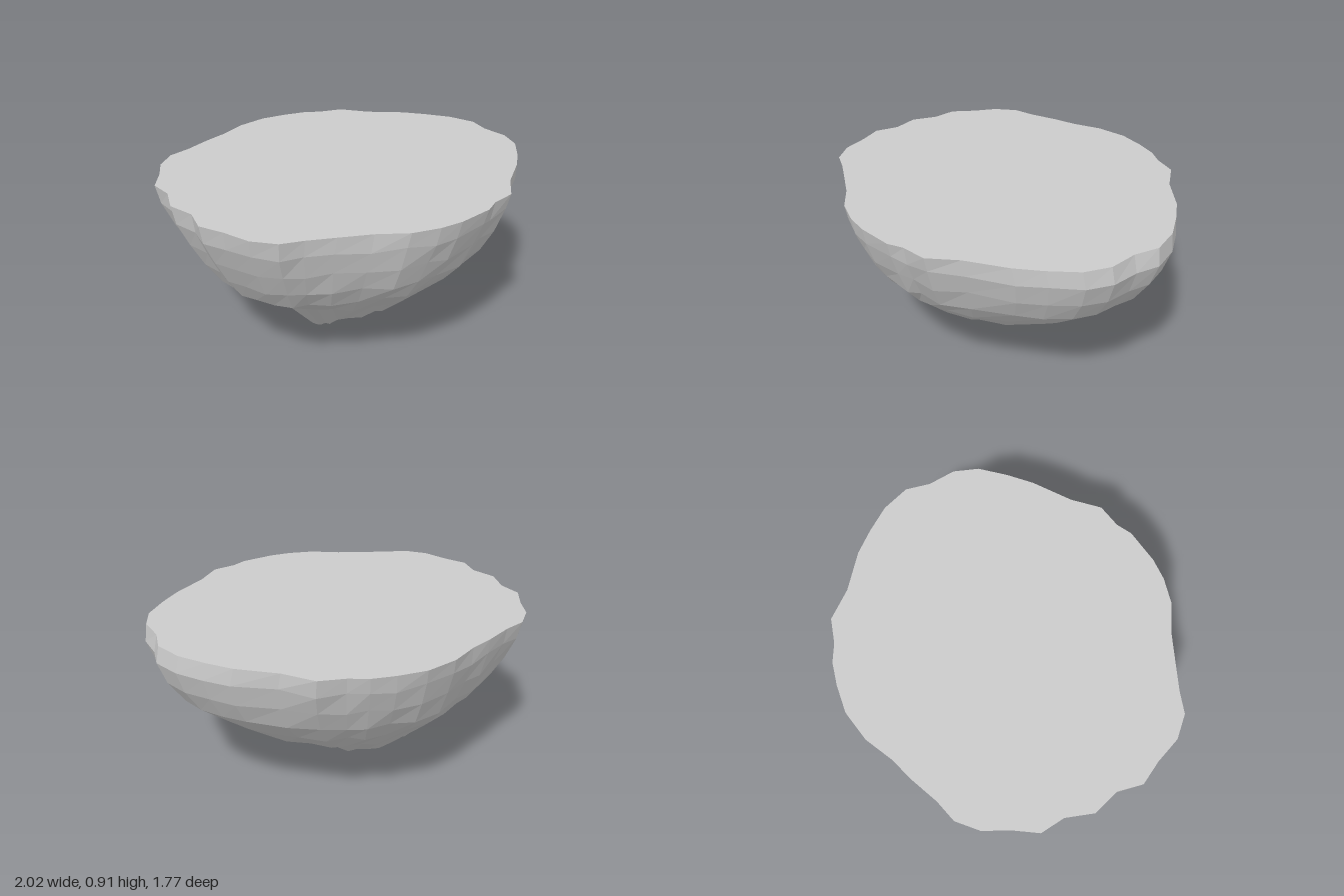
import * as THREE from 'three';

// Ragged rim outline (x, z), clockwise from the back as seen from above
const RIM = [
  0, -.89, .15, -.87, .27, -.84, .36, -.79, .49, -.75, .6, -.61, .77, -.47, .86, -.36,
  .95, -.23, 1, -.08, .97, .05, .98, .2, .93, .33, .82, .45, .71, .55, .52, .68,
  .4, .8, .27, .82, .19, .86, 0, .88, -.12, .87, -.26, .83, -.4, .74, -.55, .67,
  -.68, .61, -.79, .57, -.88, .47, -.93, .33, -.99, .21, -.96, .08, -1, -.06, -.95, -.2,
  -.96, -.33, -.88, -.45, -.82, -.57, -.72, -.66, -.6, -.69, -.45, -.75, -.32, -.79, -.17, -.86,
];
const COUNT = RIM.length / 2;

// Rings from rim to tip: height and z radius, then where the ring
// passes the +x side (ledge) and the -x side (lump): x, y
const RINGS = [
  { y: .91, r: .885, right: [1, .91], left: [-1, .91] },
  { y: .82, r: .865, right: [1, .82], left: [-.965, .81] },
  { y: .70, r: .82, right: [.96, .70], left: [-.91, .68] },
  { y: .575, r: .76, right: [.88, .575], left: [-.845, .55] },
  { y: .47, r: .68, right: [.72, .45], left: [-.77, .43] },
  { y: .34, r: .54, right: [.54, .32], left: [-.58, .36] },
  { y: .2, r: .385, right: [.36, .305], left: [-.3, .04] },
];
const TIP = [-.06, 0, 0];

function ringPoint(ring, level, i) {
  const px = RIM[2 * i], pz = RIM[2 * i + 1];
  const cos = px / Math.hypot(px, pz);
  const s = ring.r / .885;
  const t = level / (RINGS.length - 1);
  if (level === 0) return [px, ring.y, pz];
  // Smooth out the rim's flutes towards the tip
  const angle = Math.atan2(pz, px);
  const ox = THREE.MathUtils.lerp(px, Math.cos(angle) * .97, t * .8);
  const oz = THREE.MathUtils.lerp(pz, Math.sin(angle) * .885, t * .8);
  const side = cos > 0 ? ring.right : ring.left;
  const w = Math.pow(Math.abs(cos), cos > 0 ? 2.5 : 4);
  const baseX = ox * s - .06 * t;
  const sideBase = Math.sign(cos) * THREE.MathUtils.lerp(.98, .97, t) * s - .06 * t;
  const wobble = .012 * Math.sin(i * 2.4 + level * 1.7) * (1 - w);
  return [baseX + w * (side[0] - sideBase), THREE.MathUtils.lerp(ring.y, side[1], w) + wobble, oz * s];
}

function meshFrom(name, points, index, material) {
  const g = new THREE.BufferGeometry();
  g.setAttribute('position', new THREE.Float32BufferAttribute(points.flat(), 3));
  g.setIndex(index);
  const faceted = g.toNonIndexed();
  faceted.computeVertexNormals();
  const mesh = new THREE.Mesh(faceted, material);
  mesh.name = name;
  return mesh;
}

export function createModel() {
  const group = new THREE.Group();
  group.name = 'halfBoulder';
  const stone = new THREE.MeshStandardMaterial({ color: 0xcccccc, flatShading: true });

  // Faceted underside: rings closed by a fan at the tip
  const points = [], index = [];
  RINGS.forEach((ring, level) => {
    for (let i = 0; i < COUNT; i++) points.push(ringPoint(ring, level, i));
  });
  points.push(TIP);
  for (let level = 0; level < RINGS.length; level++) {
    for (let i = 0; i < COUNT; i++) {
      const a = level * COUNT + i, b = level * COUNT + (i + 1) % COUNT;
      if (level === RINGS.length - 1) index.push(a, b, points.length - 1);
      else index.push(a, b, b + COUNT, a, b + COUNT, a + COUNT);
    }
  }
  group.add(meshFrom('rockUnderside', points, index, stone));

  // Flat top
  const top = points.slice(0, COUNT);
  top.push([0, .91, 0]);
  const topIndex = [];
  for (let i = 0; i < COUNT; i++) topIndex.push(COUNT, (i + 1) % COUNT, i);
  group.add(meshFrom('flatTop', top, topIndex, stone));

  return group;
}
